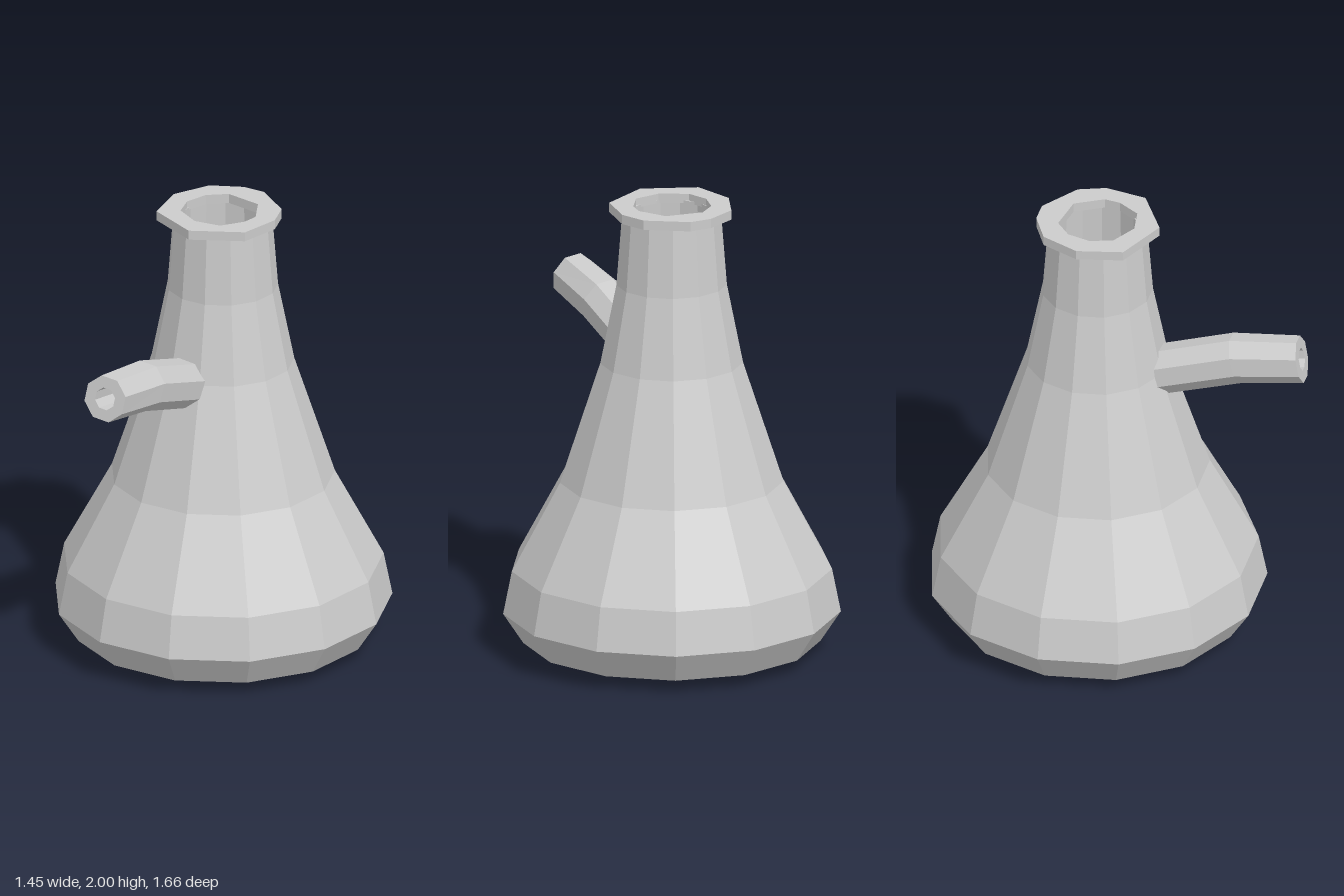
import * as THREE from 'three';

const AXIS_Z = -0.1;
const SIDES = 13;

const material = (color) =>
  new THREE.MeshStandardMaterial({ color, flatShading: true, side: THREE.DoubleSide });

const points = (list) => list.map(([x, y]) => new THREE.Vector2(x, y));

// Faceted solid of revolution about the flask's axis
function turned(name, profile, mat) {
  const mesh = new THREE.Mesh(new THREE.LatheGeometry(points(profile), SIDES, Math.PI - 0.041), mat);
  mesh.name = name;
  mesh.position.z = AXIS_Z;
  return mesh;
}

// Skin through octagonal rings: each ring is [x, y, z, radius, upward tilt]
function loft(rings, sides) {
  const pos = [], index = [];
  rings.forEach(([x, y, z, r, tilt], i) => {
    for (let j = 0; j < sides; j++) {
      const a = ((j + 0.35) / sides) * Math.PI * 2;
      const up = Math.sin(a) * r;
      pos.push(x + Math.cos(a) * r, y + up * Math.cos(tilt), z - up * Math.sin(tilt));
      if (i === 0) continue;
      const k = (j + 1) % sides, p = (i - 1) * sides, q = i * sides;
      index.push(p + j, p + k, q + j, p + k, q + k, q + j);
    }
  });
  const geo = new THREE.BufferGeometry();
  geo.setAttribute('position', new THREE.Float32BufferAttribute(pos, 3));
  geo.setIndex(index);
  geo.computeVertexNormals();
  return geo;
}

export function createModel() {
  const group = new THREE.Group();
  group.name = 'sideArmFlask';
  const glass = material(0xcccccc);

  // Hollow body: outer wall upward, inner wall back down to the floor
  group.add(turned('body', [
    [0, 0], [0.47, 0.003], [0.645, 0.055], [0.733, 0.19], [0.695, 0.38], [0.485, 0.77],
    [0.31, 1.3], [0.24, 1.65], [0.215, 1.97],
    [0.175, 1.97], [0.185, 1.65], [0.25, 1.3], [0.42, 0.77], [0.63, 0.38], [0.67, 0.19],
    [0.59, 0.08], [0, 0.05],
  ], glass));

  // Liquid inside
  group.add(turned('liquid', [
    [0, 0.06], [0.57, 0.085], [0.65, 0.19], [0.61, 0.38], [0.5, 0.6], [0, 0.6],
  ], material(0x12e82b)));

  // Uneven rim with its mouth cut out
  const rim = new THREE.Shape(points([
    [-0.265, -0.14], [-0.18, -0.3], [-0.04, -0.36], [0.06, -0.355], [0.22, -0.23],
    [0.255, -0.11], [0.21, 0.07], [-0.01, 0.175], [-0.235, 0.06],
  ]));
  rim.holes.push(new THREE.Path(points([
    [-0.06, -0.26], [0.105, -0.225], [0.165, -0.1], [0.15, -0.03], [0.08, 0.06],
    [-0.04, 0.07], [-0.15, 0], [-0.175, -0.1], [-0.14, -0.2],
  ])));
  const rimGeo = new THREE.ExtrudeGeometry(rim, { depth: 0.042, bevelEnabled: false });
  rimGeo.rotateX(Math.PI / 2);
  const rimMesh = new THREE.Mesh(rimGeo, glass);
  rimMesh.name = 'rim';
  rimMesh.position.y = 2;
  group.add(rimMesh);

  // Bent side arm: outside to the tip, then back along the bore
  const arm = new THREE.Mesh(loft([
    [-0.02, 1.27, 0.13, 0.108, 0.33],
    [-0.04, 1.395, 0.52, 0.11, 0.26],
    [-0.06, 1.437, 0.81, 0.103, 0.2],
    [-0.06, 1.437, 0.81, 0.05, 0.2],
    [-0.04, 1.395, 0.52, 0.05, 0.26],
    [-0.02, 1.27, 0.13, 0.05, 0.33],
  ], 8), glass);
  arm.name = 'sideArm';
  group.add(arm);

  return group;
}
